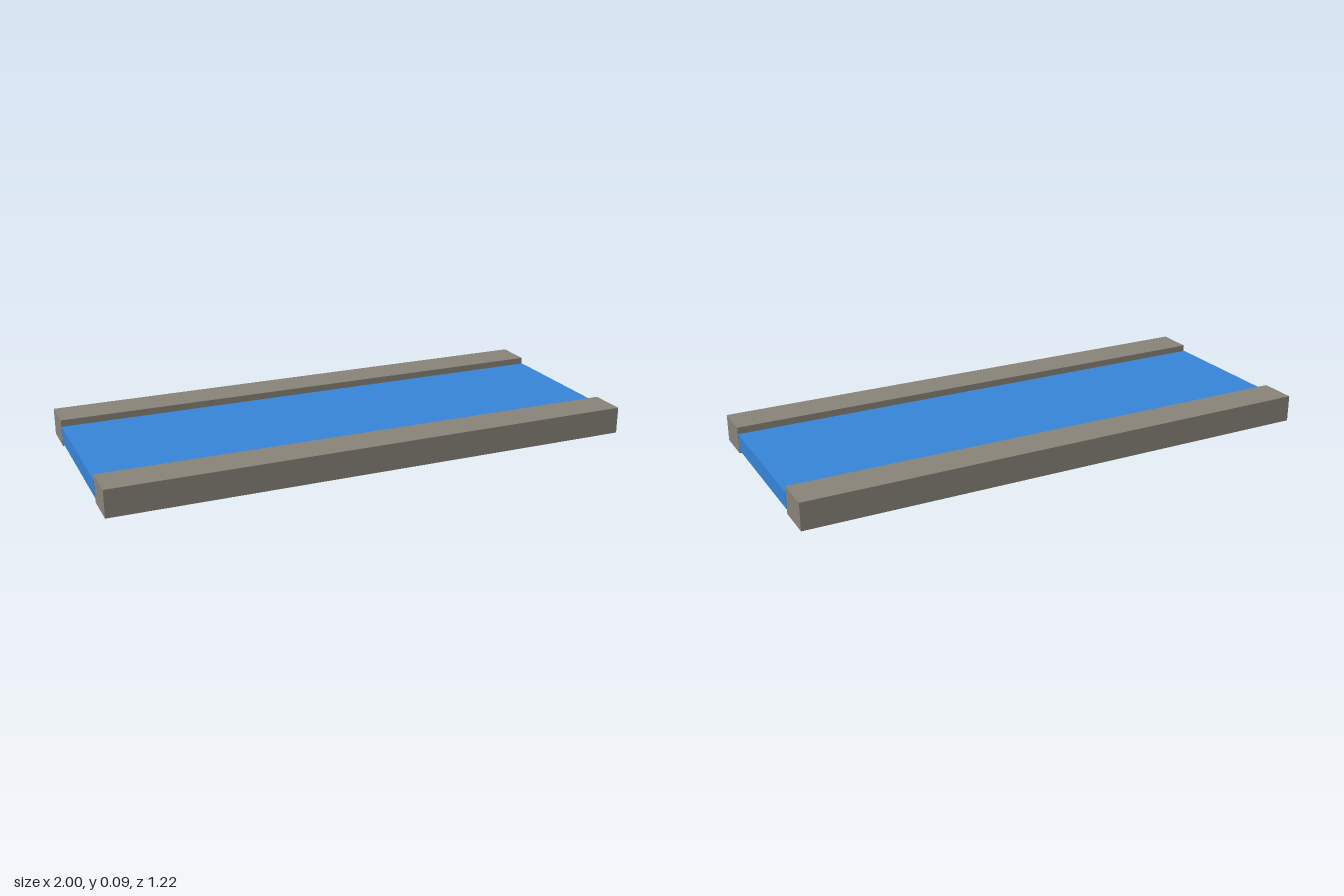
import * as THREE from 'three';

export function createModel() {
  const model = new THREE.Group();
  model.name = 'canalSection';

  const stone = new THREE.MeshStandardMaterial({ color: 0x888278 });
  stone.name = 'stone grey';
  const blue = new THREE.MeshStandardMaterial({ color: 0x3683d6 });
  blue.name = 'water blue';

  const length = 1.863, width = 0.786;
  const wallWidth = 0.131, wallHeight = 0.095;

  // The whole section lies diagonally on the ground
  const section = new THREE.Group();
  section.name = 'section';
  section.rotation.y = 0.2495;
  model.add(section);

  function slab(name, material, depth, bottom, top, z) {
    const mesh = new THREE.Mesh(new THREE.BoxGeometry(length, top - bottom, depth), material);
    mesh.name = name;
    mesh.position.set(0, (bottom + top) / 2, z);
    section.add(mesh);
  }

  // Side walls
  for (const [name, side] of [['frontWall', 1], ['backWall', -1]]) {
    slab(name, stone, wallWidth, 0, wallHeight, side * (width - wallWidth) / 2);
  }

  // Water, with a hairline gap to each wall
  slab('water', blue, width - 2 * wallWidth - 0.01, 0.014, 0.073, 0);

  return model;
}
